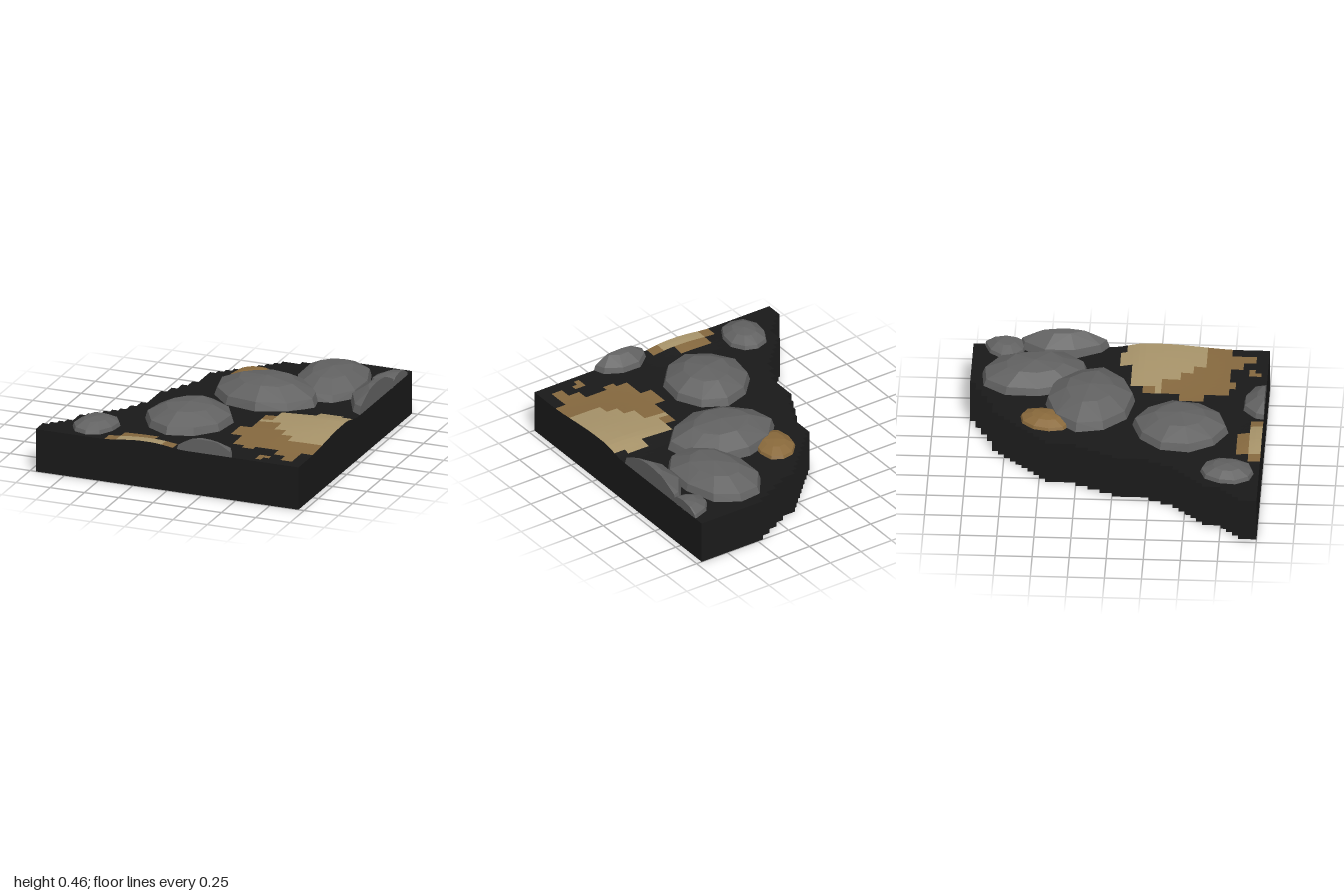
import * as THREE from 'three';
import { ConvexGeometry } from 'three/addons/geometries/ConvexGeometry.js';

const COLS = 46, ROWS = 48, CELL = 1 / 24, X0 = -23 / 24, Z0 = -1, BASE = 0.305;
const XMAX = 23 / 24, ZMAX = 1;

const material = (color) => new THREE.MeshStandardMaterial({ color, flatShading: true, roughness: 1 });
const smooth = THREE.MathUtils.smoothstep;

// First solid column of each row: [column, number of rows], back to front
const EDGE = [[34, 1], [32, 1], [30, 1], [28, 1], [25, 1], [24, 1], [23, 1], [22, 1], [21, 1], [20, 1],
  [19, 1], [18, 1], [17, 1], [16, 5], [15, 2], [14, 2], [13, 2], [12, 6], [11, 2], [10, 2], [9, 1],
  [8, 1], [7, 1], [6, 1], [5, 1], [4, 3], [3, 1], [2, 1], [1, 1], [0, 3]];
const firstCol = EDGE.flatMap(([c, n]) => Array(n).fill(c));
const solid = (c, r) => r >= 0 && r < ROWS && c < COLS && c >= firstCol[r];

// Coloured ground patches: [kind, colFrom, colTo, rowFrom, rowTo], later ones win
const PATCHES = [
  ['sand', 40, 44, 24, 26], ['sand', 40, 46, 25, 26], ['sand', 34, 46, 26, 28], ['sand', 32, 46, 28, 34],
  ['earth', 32, 34, 28, 30], ['earth', 30, 38, 34, 38], ['sand', 38, 46, 34, 36], ['earth', 38, 40, 36, 38],
  ['sand', 40, 46, 36, 38], ['earth', 32, 46, 38, 42], ['earth', 34, 36, 42, 43], ['earth', 40, 44, 42, 44],
  ['earth', 42, 44, 44, 46], ['earth', 38, 40, 45, 46], ['earth', 38, 39, 46, 47], ['earth', 32, 36, 31, 34],
  ['earth', 12, 24, 46, 48], ['sand', 14, 22, 46, 48], ['earth', 14, 20, 44, 46],
];
function kindAt(c, r) {
  let kind = 'ground';
  for (const [k, c0, c1, r0, r1] of PATCHES) if (c >= c0 && c < c1 && r >= r0 && r < r1) kind = k;
  return kind;
}

// Flat ground with two gentle swells under the sandy patches
function height(x, z) {
  const side = 0.036 * smooth(x, 0.25, 0.9) * smooth(z, -0.06, 0.17) * (1 - smooth(z, 0.25, 0.82));
  const front = 0.026 * smooth(x, -0.5, -0.18) * (1 - smooth(x, -0.12, 0.14)) * smooth(z, 0.75, 0.98);
  return BASE + side + front;
}

function quadMesh(name, positions, color) {
  const g = new THREE.BufferGeometry();
  g.setAttribute('position', new THREE.Float32BufferAttribute(positions, 3));
  g.computeVertexNormals();
  const mesh = new THREE.Mesh(g, material(color));
  mesh.name = name;
  return mesh;
}

// Slab: top cells by colour, stepped walls and underside
function buildSlab() {
  const top = { ground: [], sand: [], earth: [] };
  const body = [];
  const quad = (list, a, b, c, d) => list.push(...a, ...b, ...c, ...a, ...c, ...d);
  const up = (c, r) => {
    const x = X0 + c * CELL, z = Z0 + r * CELL;
    return [x, height(x, z), z];
  };
  const down = (c, r) => [X0 + c * CELL, 0, Z0 + r * CELL];
  const wall = (c0, r0, c1, r1) => quad(body, down(c0, r0), down(c1, r1), up(c1, r1), up(c0, r0));

  for (let r = 0; r < ROWS; r++) {
    for (let c = firstCol[r]; c < COLS; c++) {
      quad(top[kindAt(c, r)], up(c, r), up(c, r + 1), up(c + 1, r + 1), up(c + 1, r));
      quad(body, down(c, r), down(c + 1, r), down(c + 1, r + 1), down(c, r + 1));
      if (!solid(c, r + 1)) wall(c, r + 1, c + 1, r + 1);
      if (!solid(c, r - 1)) wall(c + 1, r, c, r);
      if (!solid(c + 1, r)) wall(c + 1, r + 1, c + 1, r);
      if (!solid(c - 1, r)) wall(c, r, c, r + 1);
    }
  }
  const slab = new THREE.Group();
  slab.name = 'slab';
  slab.add(
    quadMesh('slabBody', body, 0x1a1a1a),
    quadMesh('groundTop', top.ground, 0x1a1a1a),
    quadMesh('sandPatch', top.sand, 0xa8946a),
    quadMesh('earthPatch', top.earth, 0x86693f),
  );
  return slab;
}

// Cut a convex point set by the plane axis = limit
function clip(points, axis, limit) {
  const inside = points.filter((p) => p[axis] <= limit);
  const outside = points.filter((p) => p[axis] > limit);
  const cut = [];
  for (const a of inside) {
    for (const b of outside) cut.push(a.clone().lerp(b, (limit - a[axis]) / (b[axis] - a[axis])));
  }
  return inside.concat(cut);
}

// Low faceted dome, trimmed where it passes the slab's straight sides
const PROFILE = [[1, 0], [0.94, 0.4], [0.53, 0.85]];
function buildRock({ name, x, z, rx, rz, top, turn = 0, color = 0x626262 }, seed) {
  const wobble = (i) => Math.sin(i * 2.4 + seed * 1.7) * 0.025;
  const h = top - 0.3, sides = 10;
  let points = [new THREE.Vector3(x, top, z)];
  for (const [radius, level] of PROFILE) {
    for (let i = 0; i < sides; i++) {
      const a = ((i + 0.3 * Math.sin(seed)) / sides) * Math.PI * 2;
      const k = radius * (1.01 + wobble(i));
      const px = Math.cos(a) * rx * k, pz = Math.sin(a) * rz * k;
      points.push(new THREE.Vector3(
        x + px * Math.cos(turn) - pz * Math.sin(turn),
        0.3 + h * (level + (level > 0 ? wobble(i + 3) : 0)),
        z + px * Math.sin(turn) + pz * Math.cos(turn)));
    }
  }
  points = clip(clip(points, 'x', XMAX), 'z', ZMAX);
  const mesh = new THREE.Mesh(new ConvexGeometry(points), material(color));
  mesh.name = name;
  return mesh;
}

const ROCKS = [
  { name: 'middleRock', x: 0.24, z: -0.18, rx: 0.38, rz: 0.3, top: 0.46, turn: 0.08 },
  { name: 'frontRock', x: -0.065, z: 0.445, rx: 0.295, rz: 0.32, top: 0.445, turn: 0.25 },
  { name: 'backRock', x: 0.56, z: -0.565, rx: 0.26, rz: 0.375, top: 0.44, turn: -0.18 },
  { name: 'sideRock', x: 1.04, z: -0.38, rx: 0.25, rz: 0.34, top: 0.455, turn: -0.1 },
  { name: 'backCornerRock', x: 0.95, z: -0.78, rx: 0.18, rz: 0.14, top: 0.375, turn: -0.2 },
  { name: 'frontEdgeRock', x: 0.27, z: 1.05, rx: 0.22, rz: 0.2, top: 0.41 },
  { name: 'smallRock', x: -0.605, z: 0.785, rx: 0.15, rz: 0.185, top: 0.38, turn: 0.2 },
  { name: 'brownRock', x: 0, z: -0.47, rx: 0.135, rz: 0.18, top: 0.365, turn: 0.35, color: 0x8a6a3c },
];

export function createModel() {
  const model = new THREE.Group();
  model.name = 'rockyGroundTile';
  model.add(buildSlab());
  ROCKS.forEach((rock, i) => model.add(buildRock(rock, i + 1)));
  return model;
}
